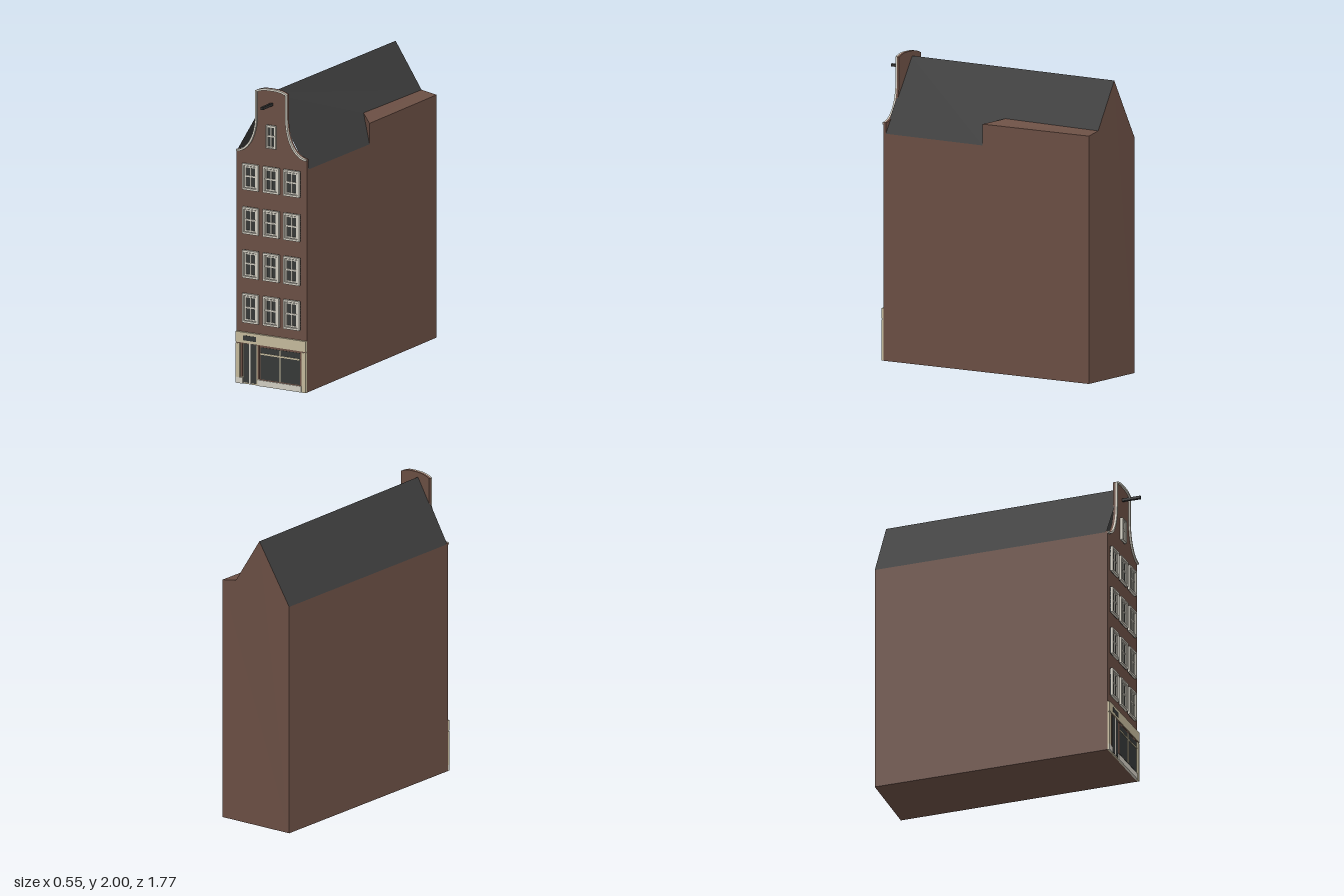
import * as THREE from 'three';

const mat = (name, color) => {
  const m = new THREE.MeshStandardMaterial({ color });
  m.name = name;
  return m;
};

export function createModel() {
  const house = new THREE.Group();
  house.name = 'gabledHouse';
  const brick = mat('brick', 0x6b4f44), slate = mat('roofSlate', 0x3b3b3b);
  const glass = mat('darkGlass', 0x363938), white = mat('whitePaint', 0xd2cec2);
  const cream = mat('creamPaint', 0xc4ba9c), iron = mat('darkTimber', 0x2f2f2f);
  slate.side = THREE.DoubleSide;
  const FRONT = 0.757, CX = 0.005;

  const add = (parent, name, geo, material) => {
    const m = new THREE.Mesh(geo, material);
    m.name = name;
    parent.add(m);
    return m;
  };
  // Flat polygons, each given as a fan of corners
  const faces = (name, polys, material) => {
    const pos = [];
    for (const p of polys)
      for (let i = 1; i < p.length - 1; i++) pos.push(...p[0], ...p[i], ...p[i + 1]);
    const g = new THREE.BufferGeometry();
    g.setAttribute('position', new THREE.Float32BufferAttribute(pos, 3));
    g.computeVertexNormals();
    return add(house, name, g, material);
  };
  // Box from left, right, bottom, top and depth range measured from the facade
  const plate = (parent, name, x0, x1, y0, y1, d0, d1, material) => {
    const g = new THREE.BoxGeometry(x1 - x0, y1 - y0, d1 - d0);
    g.translate((x0 + x1) / 2, (y0 + y1) / 2, FRONT + (d0 + d1) / 2);
    return add(parent, name, g, material);
  };
  // Rectangular frame with an open middle
  const frame = (parent, name, x0, x1, y0, y1, t, depth, material) => {
    plate(parent, name, x0, x0 + t, y0, y1, 0, depth, material);
    plate(parent, name, x1 - t, x1, y0, y1, 0, depth, material);
    plate(parent, name, x0 + t, x1 - t, y0, y0 + t, 0, depth, material);
    plate(parent, name, x0 + t, x1 - t, y1 - t, y1, 0, depth, material);
  };

  // Main body: slightly skewed plan, with a raised wall at the rear right
  const zf = 0.75;
  const FL0 = [-0.26, 0, zf], FR0 = [0.27, 0, zf], BR0 = [0.265, 0, -0.885], BL0 = [-0.275, 0, -0.855];
  const FLt = [-0.26, 1.555, zf], FRt = [0.27, 1.49, zf], BLt = [-0.275, 1.55, -0.855], BRt = [0.265, 1.625, -0.885];
  const RF = [-0.02, 1.965, zf], RB = [-0.035, 1.95, -0.87];
  const P0 = [0.268, 0, -0.035], A = [0.268, 1.485, -0.035], B = [0.268, 1.625, -0.035];
  const C = [0.16, 1.657, -0.14], D = [0.155, 1.645, -0.88];
  faces('walls', [
    [FL0, FLt, BLt, BL0], [FR0, P0, A, FRt], [P0, BR0, BRt, B],
    [BL0, BLt, RB, D, BRt, BR0], [FL0, BL0, BR0, FR0],
  ], brick);
  faces('raisedWallTop', [[B, BRt, D, C], [A, B, C]], brick);
  faces('roof', [[RF, FRt, A, C, D, RB], [RF, RB, BLt, FLt]], slate);

  // Facade with a neck gable
  const neck = new THREE.CurvePath();
  const v = (x, y) => new THREE.Vector2(x, y);
  neck.add(new THREE.CubicBezierCurve(v(0.265, 1.562), v(0.19, 1.565), v(0.12, 1.66), v(0.12, 1.81)));
  neck.add(new THREE.LineCurve(v(0.12, 1.81), v(0.12, 1.935)));
  neck.add(new THREE.CubicBezierCurve(v(0.12, 1.975), v(0.075, 1.998), v(0.04, 1.998), v(0, 1.998)));
  const half = neck.getPoints(12);
  const outline = [...half, ...half.slice(0, -1).reverse().map(p => v(-p.x, p.y))];
  const extrude = (name, pts, z, depth, material) => {
    const g = new THREE.ExtrudeGeometry(new THREE.Shape(pts), { depth, bevelEnabled: false });
    g.translate(CX, 0, z);
    return add(house, name, g, material);
  };
  extrude('facade', [v(-0.265, 0), v(0.265, 0), ...outline], FRONT - 0.017, 0.017, brick);

  // Pale coping band following the gable edge
  const inner = outline.map((p, i) => {
    const a = outline[Math.max(i - 1, 0)], b = outline[Math.min(i + 1, outline.length - 1)];
    const t = b.clone().sub(a).normalize();
    return v(p.x - t.y * 0.013, p.y + t.x * 0.013);
  });
  extrude('gableCoping', [...outline, ...inner.reverse()], FRONT, 0.012, white);

  // Sash windows
  const sash = (cx, y0, y1, w, border) => {
    const g = new THREE.Group();
    g.name = 'window';
    house.add(g);
    const x0 = cx - w / 2, x1 = cx + w / 2, t = border;
    plate(g, 'windowGlass', x0, x1, y0, y1, 0, 0.004, glass);
    frame(g, 'outerFrame', x0, x1, y0, y1, t, 0.018, white);
    const s = border > 0.01 ? t + 0.004 : t;
    frame(g, 'sashFrame', x0 + s, x1 - s, y0 + s, y1 - s, 0.008, 0.011, white);
    plate(g, 'mullion', cx - 0.005, cx + 0.005, y0 + s, y1 - s, 0, 0.011, white);
    const ym = y0 + (y1 - y0) * 0.53;
    plate(g, 'transom', x0 + s, x1 - s, ym - 0.005, ym + 0.005, 0, 0.012, white);
  };
  for (const [y0, y1] of [[0.41, 0.605], [0.71, 0.895], [1.005, 1.185], [1.3, 1.475]])
    for (const x of [-0.15, 0.005, 0.16]) sash(x, y0, y1, 0.12, 0.013);
  sash(CX, 1.6, 1.755, 0.074, 0.006);

  // Shop front
  const shop = new THREE.Group();
  shop.name = 'shopFront';
  house.add(shop);
  plate(shop, 'shopPanel', -0.26, 0.27, 0, 0.275, 0, 0.008, cream);
  plate(shop, 'shopFascia', -0.26, 0.27, 0.275, 0.345, 0, 0.016, cream);
  plate(shop, 'fasciaLine', -0.255, 0.265, 0.268, 0.275, 0, 0.012, brick);
  plate(shop, 'plinth', -0.26, -0.205, 0, 0.04, 0, 0.016, white);
  plate(shop, 'plinth', -0.095, 0.235, 0, 0.04, 0, 0.016, white);
  plate(shop, 'cornerPilaster', 0.24, 0.27, 0, 0.268, 0, 0.016, cream);
  plate(shop, 'cornerPilaster', -0.26, -0.228, 0.04, 0.268, 0, 0.016, cream);
  plate(shop, 'brickStrip', -0.225, -0.209, 0.045, 0.268, 0.008, 0.011, brick);
  plate(shop, 'brickStrip', -0.096, -0.084, 0.045, 0.268, 0.008, 0.011, brick);
  // Double door and fanlight
  plate(shop, 'doorLeaf', -0.2, -0.158, 0.01, 0.285, 0.008, 0.012, glass);
  plate(shop, 'doorLeaf', -0.147, -0.105, 0.01, 0.285, 0.008, 0.012, glass);
  plate(shop, 'doorPost', -0.158, -0.147, 0, 0.285, 0.008, 0.014, white);
  plate(shop, 'fanlight', -0.2, -0.105, 0.292, 0.325, 0.016, 0.018, glass);
  // Display window
  plate(shop, 'displaySurround', -0.083, 0.234, 0.04, 0.268, 0.008, 0.01, brick);
  plate(shop, 'displayGlass', -0.074, 0.225, 0.047, 0.26, 0.01, 0.012, glass);
  plate(shop, 'displayTransom', -0.074, 0.225, 0.212, 0.222, 0.012, 0.016, cream);
  plate(shop, 'displayMullion', 0.071, 0.079, 0.047, 0.26, 0.012, 0.016, cream);

  // Hoisting beam
  plate(house, 'hoistBeam', -0.004, 0.014, 1.886, 1.904, -0.01, 0.128, iron);
  return house;
}
